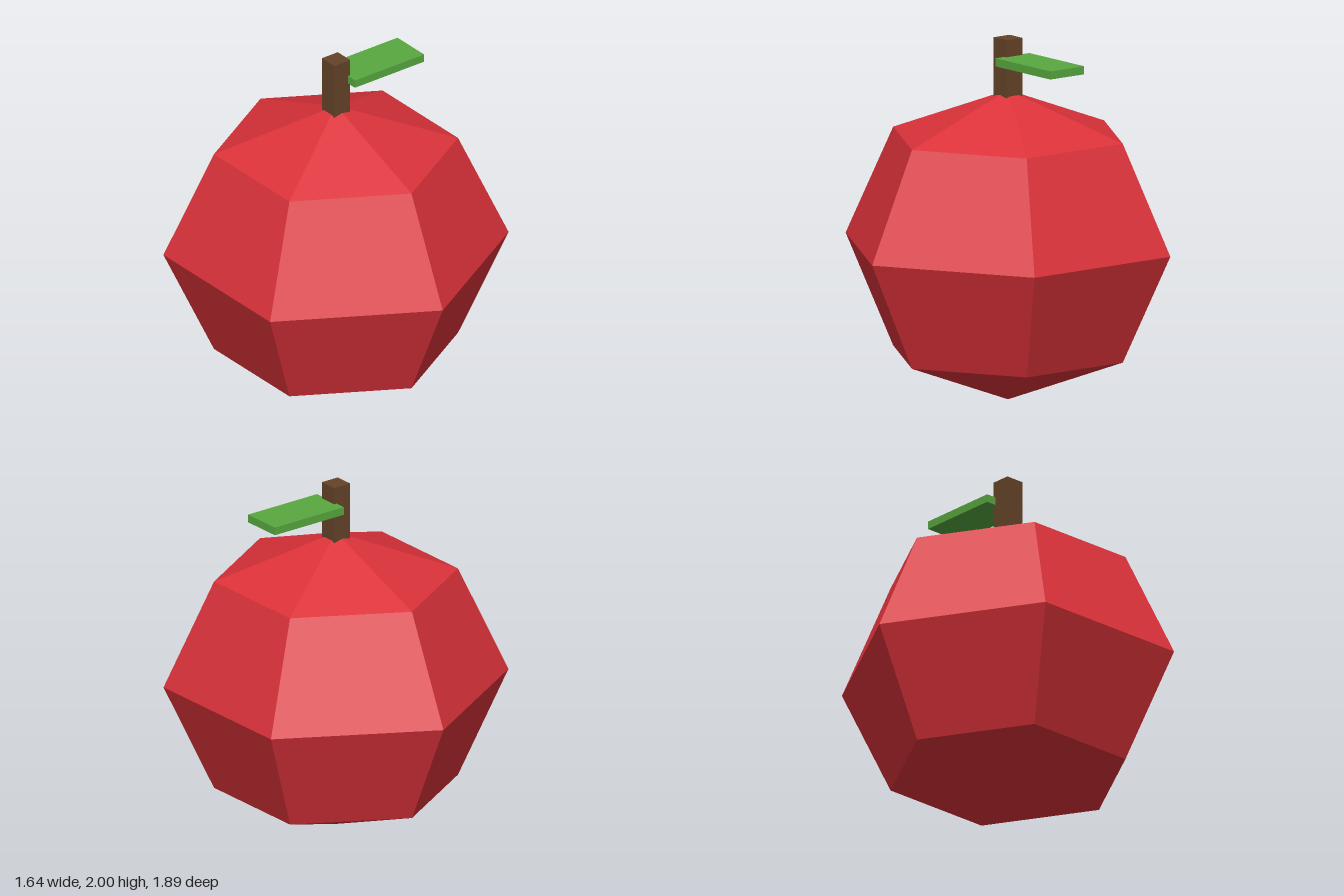
import * as THREE from 'three';

function makeMaterial(name, color) {
  const m = new THREE.MeshStandardMaterial({ color, flatShading: true });
  m.name = name;
  return m;
}

export function createModel() {
  const group = new THREE.Group();
  group.name = 'apple';

  const add = (name, geometry, material, x, y, z) => {
    const mesh = new THREE.Mesh(geometry, material);
    mesh.name = name;
    mesh.position.set(x, y, z);
    group.add(mesh);
    return mesh;
  };

  // Six-sided, slightly squashed fruit with corners facing front and back
  const body = new THREE.SphereGeometry(0.945, 6, 4);
  body.rotateY(Math.PI / 6);
  body.scale(1, 0.905, 1);
  add('fruit', body, makeMaterial('apple red', 0xdc323a), 0, 0.855, 0);

  // Square stem, sunk a little into the fruit
  add('stem', new THREE.BoxGeometry(0.11, 0.38, 0.11), makeMaterial('stem brown', 0x654429), 0, 1.81, 0);

  // Flat leaf on the left side of the stem
  add('leaf', new THREE.BoxGeometry(0.475, 0.045, 0.236), makeMaterial('leaf green', 0x58a840), 0.276, 1.883, 0);

  return group;
}
